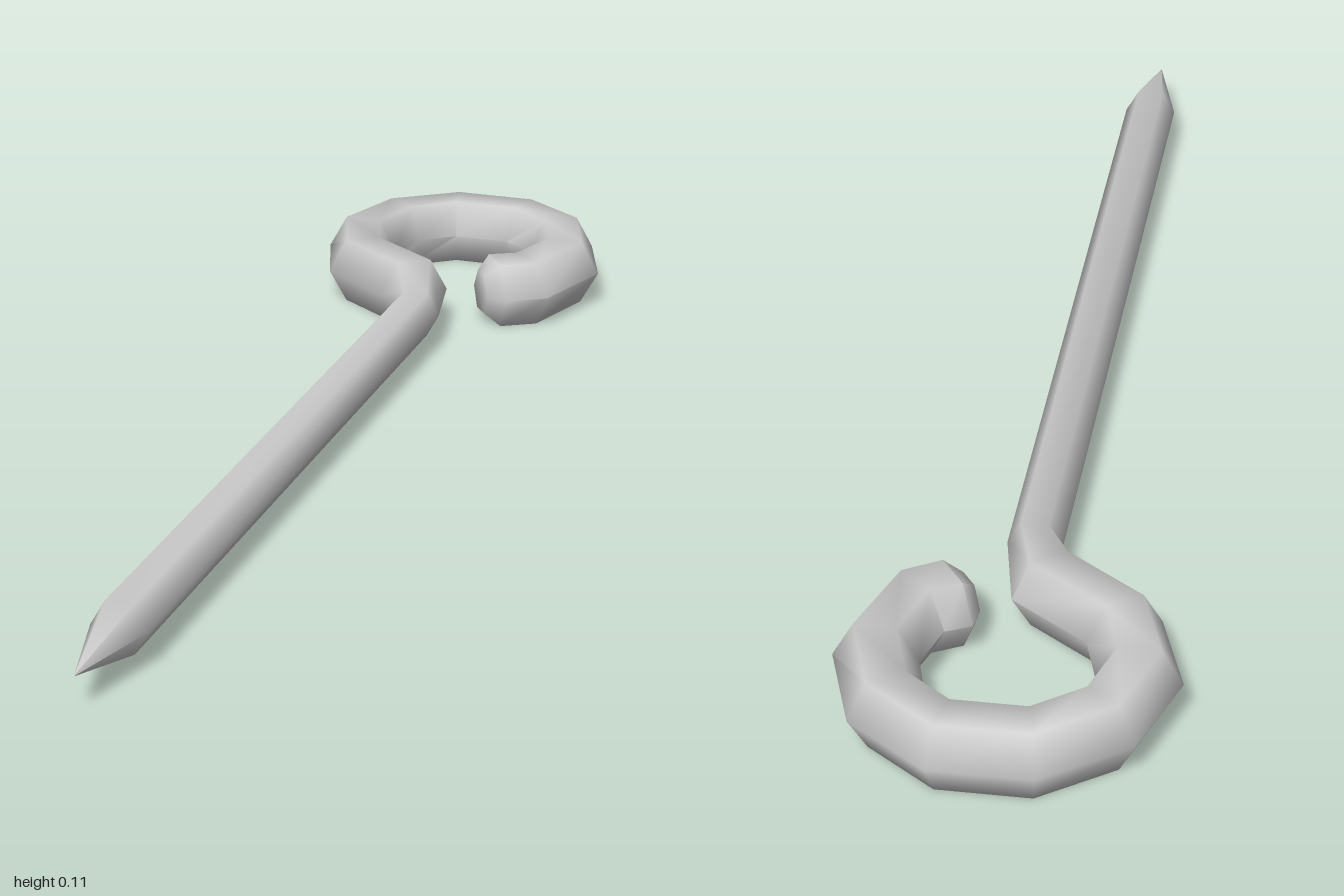
import * as THREE from 'three';
import { toCreasedNormals } from 'three/addons/utils/BufferGeometryUtils.js';

const SIDES = 6, MID_Y = 0.0545;

// Sweeps a hexagonal section; each station is [outerX, outerZ, innerX, innerZ, halfHeight]
function sweep(stations) {
  const pos = [], index = [];
  for (const [ax, az, bx, bz, h] of stations) {
    const cx = (ax + bx) / 2, cz = (az + bz) / 2;
    for (let j = 0; j < SIDES; j++) {
      const t = (j / SIDES) * Math.PI * 2, c = Math.cos(t);
      pos.push(cx + (ax - cx) * c, MID_Y + (h * Math.sin(t)) / Math.sin(Math.PI / 3), cz + (az - cz) * c);
    }
  }
  for (let i = 0; i < stations.length - 1; i++) {
    for (let j = 0; j < SIDES; j++) {
      const k = (j + 1) % SIDES;
      const a = i * SIDES + j, b = i * SIDES + k, c = a + SIDES, d = b + SIDES;
      index.push(a, b, c, b, d, c);
    }
  }
  // Flat cap on the last station
  const last = (stations.length - 1) * SIDES;
  for (let j = 1; j < SIDES - 1; j++) index.push(last, last + j, last + j + 1);
  const geo = new THREE.BufferGeometry();
  geo.setAttribute('position', new THREE.Float32BufferAttribute(pos, 3));
  geo.setIndex(index);
  return toCreasedNormals(geo, 1.15);
}

export function createModel() {
  const group = new THREE.Group();
  group.name = 'screwEye';
  const R = 0.0545, S = 0.0365;
  const stations = [
    // pointed tip and straight shank
    [0.007, 1.0, 0.009, 1.0, 0.001],
    [-0.034, 0.845, 0.05, 0.845, S],
    [-0.034, -0.474, 0.047, -0.474, S],
    // neck bending into the eye
    [-0.077, -0.542, 0.019, -0.611, R],
    // open eye
    [-0.198, -0.632, -0.1, -0.696, R],
    [-0.244, -0.77, -0.122, -0.77, R],
    [-0.196, -0.913, -0.101, -0.844, R],
    [-0.075, -1.0, -0.048, -0.886, R],
    [0.073, -1.0, 0.046, -0.886, R],
    [0.194, -0.913, 0.099, -0.844, R],
    [0.243, -0.77, 0.121, -0.77, R],
    [0.194, -0.617, 0.099, -0.698, R],
    // rounded free end
    [0.135, -0.58, 0.062, -0.68, R],
    [0.099, -0.586, 0.058, -0.643, 0.033],
  ];
  const rod = new THREE.Mesh(sweep(stations), new THREE.MeshStandardMaterial({ color: 0xcccccc }));
  rod.name = 'bentRod';
  group.add(rod);
  return group;
}
